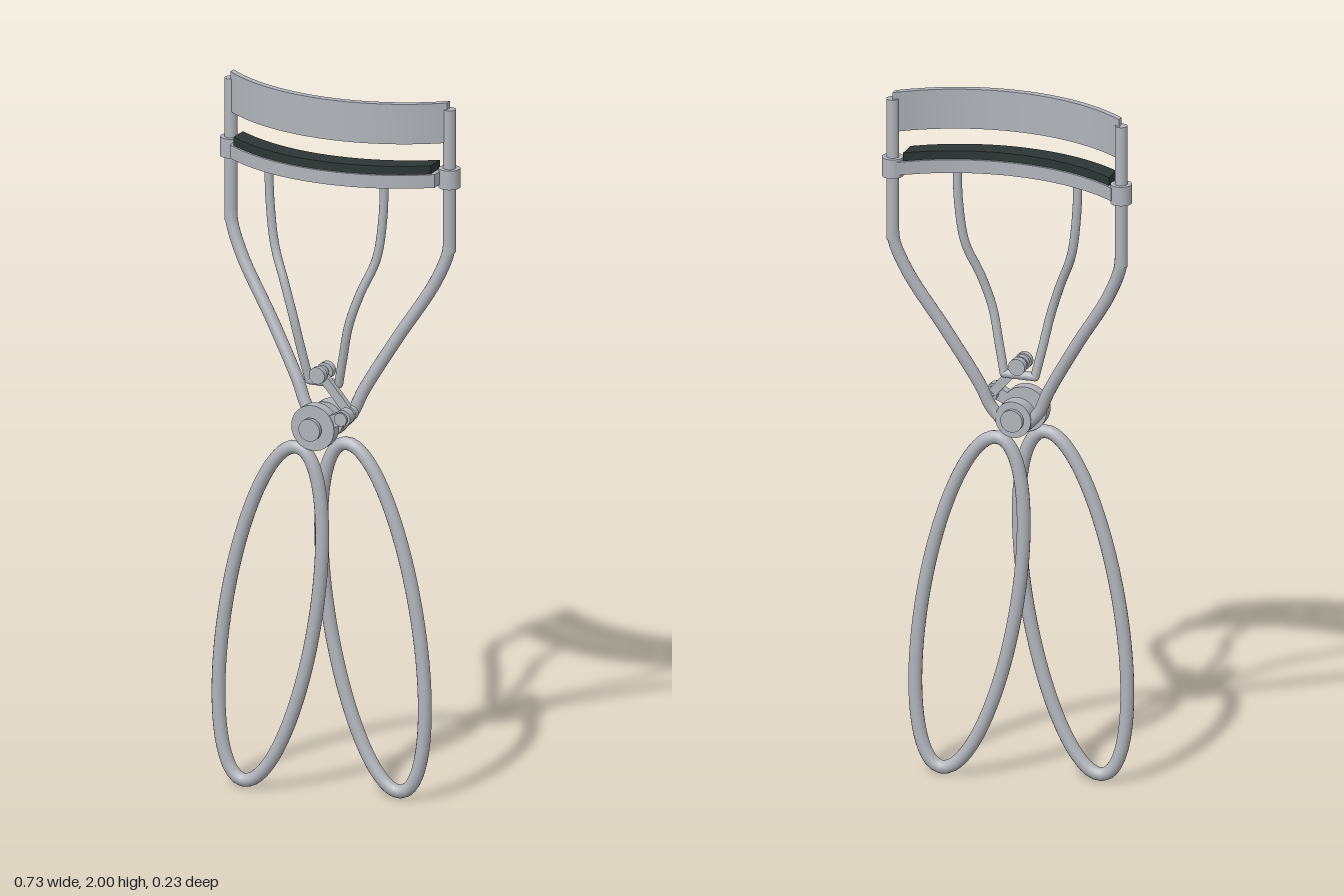
import * as THREE from 'three';
import { toCreasedNormals } from 'three/addons/utils/BufferGeometryUtils.js';

const metal = new THREE.MeshStandardMaterial({ color: 0xb0b4ba });
metal.name = 'brushed steel';
const rubber = new THREE.MeshStandardMaterial({ color: 0x2c3634 });
rubber.name = 'dark rubber';

export function createModel() {
  const model = new THREE.Group();
  model.name = 'eyelashCurler';

  const add = (name, geometry, material = metal) => {
    const mesh = new THREE.Mesh(geometry, material);
    mesh.name = name;
    model.add(mesh);
    return mesh;
  };
  const vec = (p) => new THREE.Vector3(...p);

  // Round wire through a few points, with closed ends
  const wire = (name, points, radius) => {
    const curve = new THREE.CatmullRomCurve3(points.map(vec), false, 'centripetal');
    add(name, new THREE.TubeGeometry(curve, 64, radius, 14));
    for (const p of [points[0], points[points.length - 1]]) {
      add(name + 'End', new THREE.SphereGeometry(radius, 14, 8)).position.set(...p);
    }
  };

  // Cylinder along z from z0 to z1
  const pin = (name, x, y, z0, z1, radius) => {
    const g = new THREE.CylinderGeometry(radius, radius, z1 - z0, 32);
    g.rotateX(Math.PI / 2);
    add(name, g).position.set(x, y, (z0 + z1) / 2);
  };

  // Curved strip that follows the eye, seen from above
  const R = 0.531;
  const arcZ = (x) => 0.03 - (R - Math.sqrt(R * R - x * x));
  const band = (name, half, depth, y0, y1, material) => {
    const n = 32, front = [], back = [];
    for (let i = 0; i <= n; i++) {
      const x = -half + (2 * half * i) / n;
      front.push(new THREE.Vector2(x, arcZ(x) + depth / 2));
      back.unshift(new THREE.Vector2(x, arcZ(x) - depth / 2));
    }
    const g = new THREE.ExtrudeGeometry(new THREE.Shape([...front, ...back]),
      { depth: y1 - y0, bevelEnabled: false });
    g.rotateX(Math.PI / 2);
    g.translate(0, y1, 0);
    add(name, toCreasedNormals(g, 0.5), material);
  };
  band('upperPlate', 0.33, 0.02, 1.885, 2.0, metal);
  band('padHolder', 0.312, 0.075, 1.765, 1.803, metal);
  band('rubberPad', 0.3, 0.06, 1.803, 1.827, rubber);

  // Finger loops: slanted ellipses, one in front and one behind
  class LoopCurve extends THREE.Curve {
    constructor(side, z) { super(); this.side = side; this.z = z; }
    getPoint(t, target = new THREE.Vector3()) {
      const a = t * Math.PI * 2;
      return target.set(this.side * (0.135 - 0.158 * Math.cos(a)),
        0.51 + 0.491 * Math.cos(a - Math.PI / 3), this.z);
    }
  }
  add('frontFingerLoop', new THREE.TubeGeometry(new LoopCurve(-1, 0.077), 120, 0.019, 16, true));
  add('rearFingerLoop', new THREE.TubeGeometry(new LoopCurve(1, -0.012), 120, 0.019, 16, true));

  for (const s of [-1, 1]) {
    const side = s > 0 ? 'left' : 'right';

    // Outer frame: straight guide rod, then the bent arm
    const rod = new THREE.CylinderGeometry(0.0175, 0.0175, 0.41, 20);
    add(side + 'GuideRod', rod).position.set(s * 0.333, 1.775, -0.085);
    wire(side + 'FrameArm', [[s * 0.333, 1.6, -0.085], [s * 0.328, 1.56, -0.083],
      [s * 0.29, 1.47, -0.073], [s * 0.19, 1.31, -0.05], [s * 0.1, 1.155, -0.026],
      [s * 0.07, 1.09, -0.018], [s * 0.035, 1.05, -0.015]], 0.0175);

    // Sliding collar on the rod, joined to the pad holder
    const collar = new THREE.CylinderGeometry(0.03, 0.03, 0.055, 28);
    add(side + 'Collar', collar).position.set(s * 0.333, 1.783, -0.085);

    // Inner push rod
    wire(side + 'PushRod', [[s * 0.176, 1.775, 0.002], [s * 0.172, 1.67, 0.002],
      [s * 0.155, 1.55, 0.008], [s * 0.115, 1.45, 0.028], [s * 0.085, 1.36, 0.036],
      [s * 0.063, 1.26, 0.028], [s * 0.045, 1.178, 0.018]], 0.0125);
  }
  wire('pushRodBridge', [[-0.045, 1.178, 0.018], [0, 1.178, 0.018], [0.045, 1.178, 0.018]], 0.0125);

  // Main pivot with its two discs and rivet heads
  const py = 1.065;
  pin('frontPivotDisc', 0, py, 0.057, 0.09, 0.065);
  pin('rearPivotDisc', 0, py, -0.036, 0.006, 0.052);
  pin('pivotShaft', 0, py, -0.045, 0.105, 0.018);
  pin('frontRivetHead', 0, py, 0.1, 0.113, 0.032);
  pin('rearRivetHead', 0, py, -0.05, -0.038, 0.032);

  // Ear on the front lever that drives the link
  const ear = new THREE.BoxGeometry(0.1, 0.036, 0.028);
  ear.rotateZ(Math.atan2(0.04, 0.09));
  add('leverEar', ear).position.set(0.05, 1.087, 0.073);
  pin('earEnd', 0.09, 1.105, 0.059, 0.087, 0.023);
  pin('earPin', 0.09, 1.105, 0.025, 0.095, 0.012);
  pin('earPinHead', 0.09, 1.105, 0.095, 0.102, 0.019);

  // Link between the ear and the push rods
  const link = new THREE.BoxGeometry(Math.hypot(0.09, 0.103), 0.026, 0.018);
  link.rotateZ(Math.atan2(-0.103, 0.09));
  add('link', link).position.set(0.045, 1.1565, 0.036);
  pin('linkLowerEnd', 0.09, 1.105, 0.027, 0.045, 0.02);
  pin('linkUpperEnd', 0, 1.208, 0.027, 0.045, 0.02);
  pin('linkPin', 0, 1.208, -0.005, 0.06, 0.013);
  pin('linkPinFrontHead', 0, 1.208, 0.046, 0.064, 0.024);
  pin('linkPinRearEye', 0, 1.208, -0.008, 0.014, 0.024);

  return model;
}
